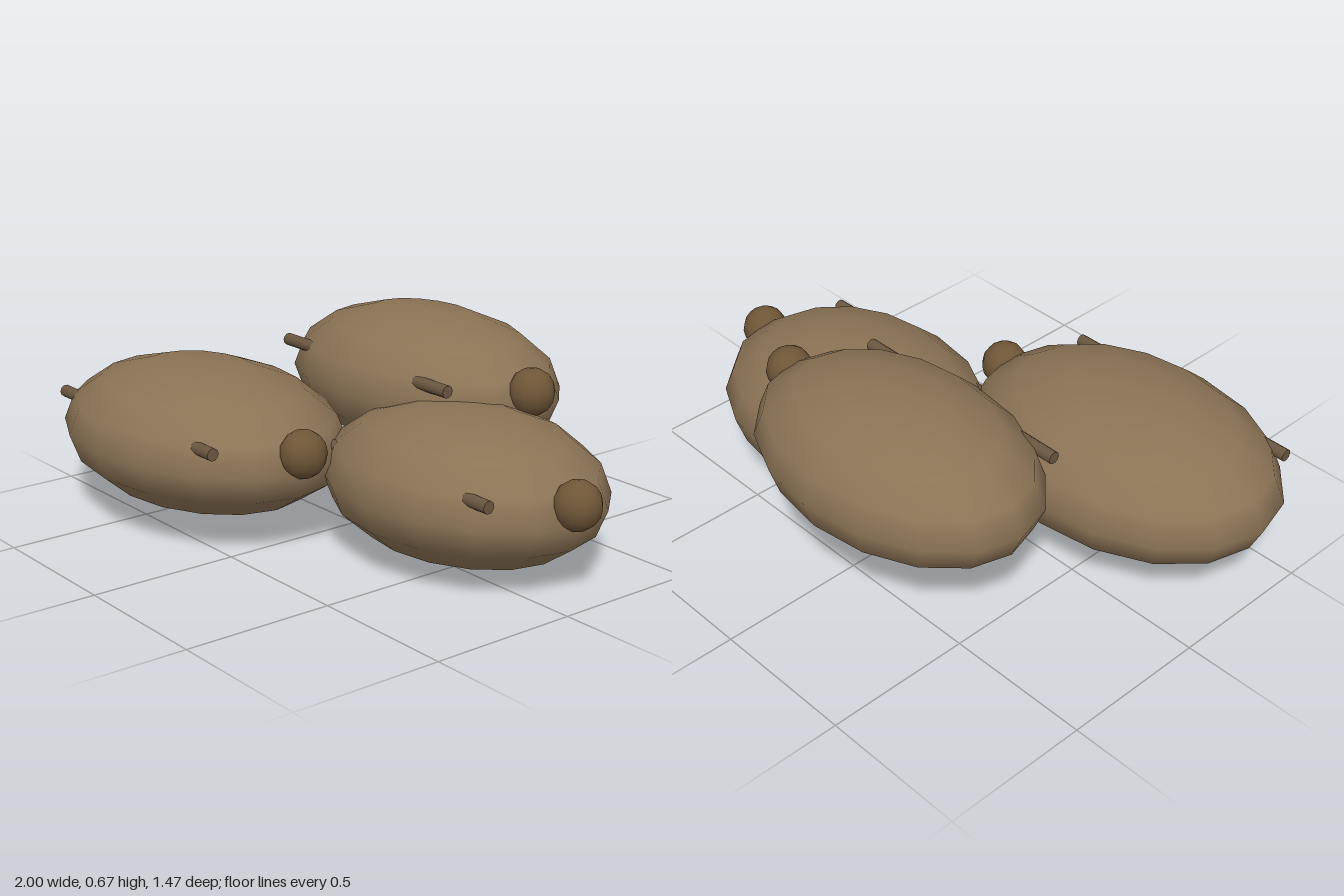
import * as THREE from 'three';

const cloth = new THREE.MeshStandardMaterial({ color: 0x8b7355 });
const knotCloth = new THREE.MeshStandardMaterial({ color: 0x6f5637 });
const cord = new THREE.MeshStandardMaterial({ color: 0x6b5740 });

function add(parent, name, geometry, material, x, y, z) {
  const mesh = new THREE.Mesh(geometry, material);
  mesh.name = name;
  mesh.position.set(x, y, z);
  parent.add(mesh);
  return mesh;
}

// One filled sack: a squashed body, a tied knot at the +x end and two corner ears
function makeSack(name, [x, y, z], [rx, ry, rz], knotX, ear) {
  const sack = new THREE.Group();
  sack.name = name;
  sack.position.set(x, y, z);

  const body = new THREE.SphereGeometry(1, 16, 8).scale(rx, ry, rz);
  add(sack, 'sackBody', body, cloth, 0, 0, 0);

  const knot = new THREE.SphereGeometry(1, 12, 8).scale(0.076, 0.079, 0.079);
  add(sack, 'knot', knot, knotCloth, knotX, 0.058, 0);

  // Ears are short rods along x, half sunk into the front shoulder
  const length = 0.16;
  for (const side of [-1, 1]) {
    const rod = new THREE.CylinderGeometry(0.021, 0.021, length, 10).rotateZ(Math.PI / 2);
    add(sack, side > 0 ? 'leftEar' : 'rightEar', rod, cord,
      side * (ear.end - length / 2), ear.y, ear.z);
  }
  return sack;
}

export function createModel() {
  const model = new THREE.Group();
  model.name = 'sackPile';
  model.add(
    makeSack('frontSack', [-0.42, 0.288, 0.312], [0.58, 0.24, 0.418], 0.555,
      { end: 0.448, y: 0.082, z: 0.266 }),
    makeSack('sideSack', [0.42, 0.246, -0.107], [0.52, 0.24, 0.402], 0.5,
      { end: 0.4, y: 0.082, z: 0.262 }),
    makeSack('topSack', [-0.08, 0.437, -0.368], [0.55, 0.24, 0.37], 0.525,
      { end: 0.42, y: 0.081, z: 0.264 }),
  );
  return model;
}
